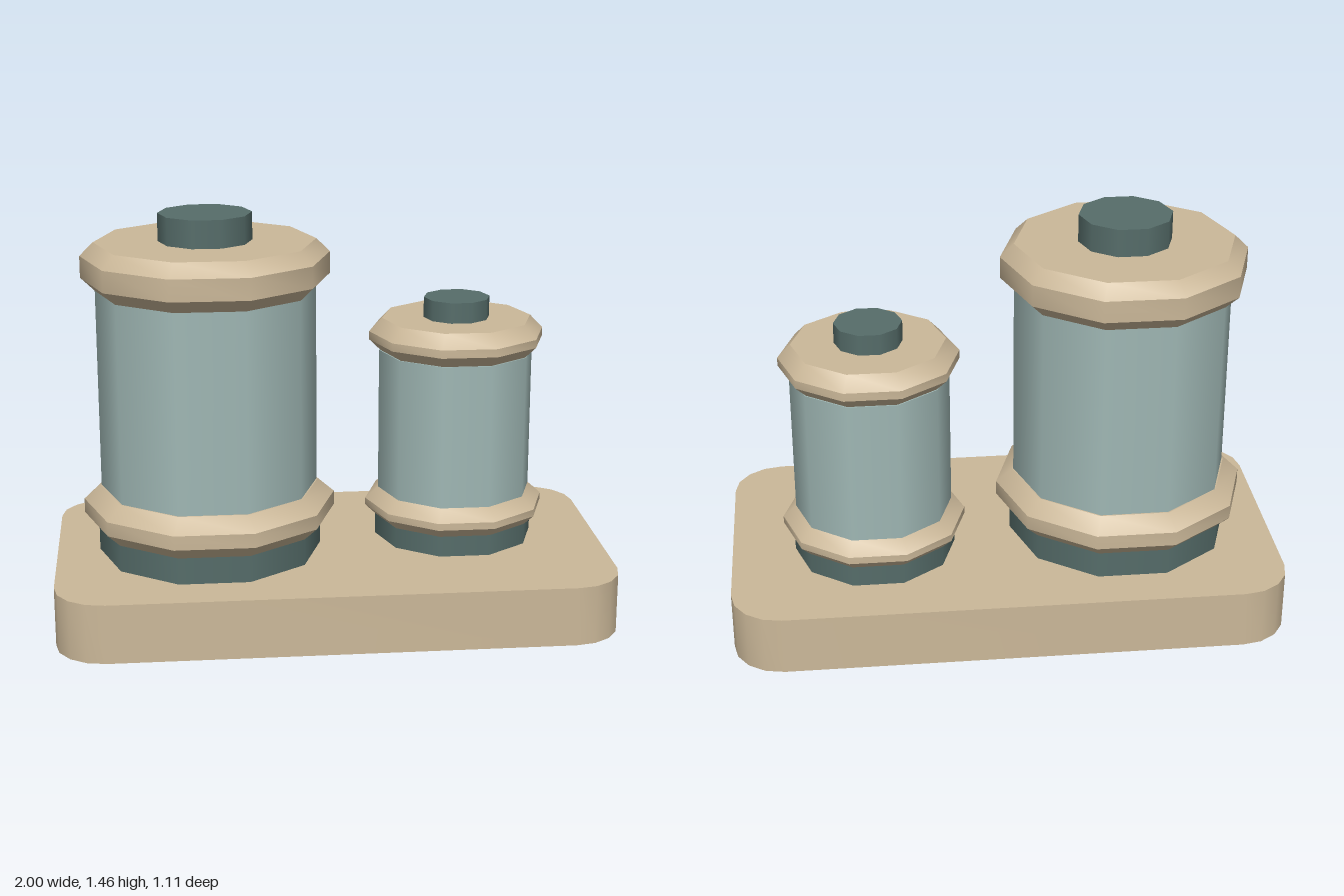
import * as THREE from 'three';
import { toCreasedNormals } from 'three/addons/utils/BufferGeometryUtils.js';

const SIDES = 10;
const CREASE = 0.64; // just above the 36 degree step of a ten-sided drum

const flat = (name, color) => {
  const m = new THREE.MeshStandardMaterial({ color });
  m.name = name;
  return m;
};

export function createModel() {
  const sand = flat('sand', 0xcbb899);
  const paleTeal = flat('pale teal', 0xa0b8b5);
  const darkTeal = flat('dark teal', 0x566d6a);

  const model = new THREE.Group();
  model.name = 'twinTanks';

  const add = (parent, name, geometry, material) => {
    const mesh = new THREE.Mesh(geometry, material);
    mesh.name = name;
    parent.add(mesh);
    return mesh;
  };

  // Ten-sided drum between two heights, with corners on the x axis
  const drum = (r, y0, y1) =>
    new THREE.CylinderGeometry(r, r, y1 - y0, SIDES)
      .rotateY(Math.PI / 2)
      .translate(0, (y0 + y1) / 2, 0);

  // Closed collar with a bevelled rim; heights run bottom, rim bottom, rim top, top
  const collar = (inner, outer, [a, b, c, d]) => {
    const profile = [[0, a], [inner, a], [outer, b], [outer, c], [inner, d], [0, d]]
      .map(([r, y]) => new THREE.Vector2(r, y));
    const g = new THREE.LatheGeometry(profile, SIDES).rotateY(Math.PI / 2);
    return toCreasedNormals(g, CREASE);
  };

  // Base slab with rounded corners of two facets
  const w = 1, d = 0.555, r = 0.18;
  const outline = new THREE.Shape();
  outline.moveTo(w - r, -d);
  outline.absarc(w - r, -d + r, r, -Math.PI / 2, 0);
  outline.absarc(w - r, d - r, r, 0, Math.PI / 2);
  outline.absarc(-w + r, d - r, r, Math.PI / 2, Math.PI);
  outline.absarc(-w + r, -d + r, r, Math.PI, Math.PI * 1.5);
  const slab = new THREE.ExtrudeGeometry(outline, {
    depth: 0.215, bevelEnabled: false, curveSegments: 2,
  }).rotateX(-Math.PI / 2);
  add(model, 'baseSlab', toCreasedNormals(slab, CREASE), sand);

  // Each tank: dark foot, lower collar, body, upper collar, cap
  const tanks = [
    {
      name: 'largeTank', x: -0.44, z: 0,
      foot: 0.406, body: 0.393, cap: 0.167, top: 1.46,
      lower: [0.398, 0.457, [0.305, 0.36, 0.412, 0.463]],
      upper: [0.394, 0.443, [1.187, 1.234, 1.312, 1.36]],
    },
    {
      name: 'smallTank', x: 0.475, z: -0.076,
      foot: 0.294, body: 0.284, cap: 0.121, top: 1.12,
      lower: [0.284, 0.332, [0.282, 0.328, 0.354, 0.397]],
      upper: [0.274, 0.321, [0.92, 0.966, 0.996, 1.045]],
    },
  ];
  for (const t of tanks) {
    const tank = new THREE.Group();
    tank.name = t.name;
    tank.position.set(t.x, 0, t.z);
    const low = t.lower[2], up = t.upper[2];
    add(tank, 'foot', drum(t.foot, 0.21, low[0] + 0.02), darkTeal);
    add(tank, 'lowerCollar', collar(...t.lower), sand);
    add(tank, 'body', drum(t.body, low[3] - 0.02, up[0] + 0.005), paleTeal);
    add(tank, 'upperCollar', collar(...t.upper), sand);
    add(tank, 'cap', drum(t.cap, up[3] - 0.02, t.top), darkTeal);
    model.add(tank);
  }

  return model;
}
